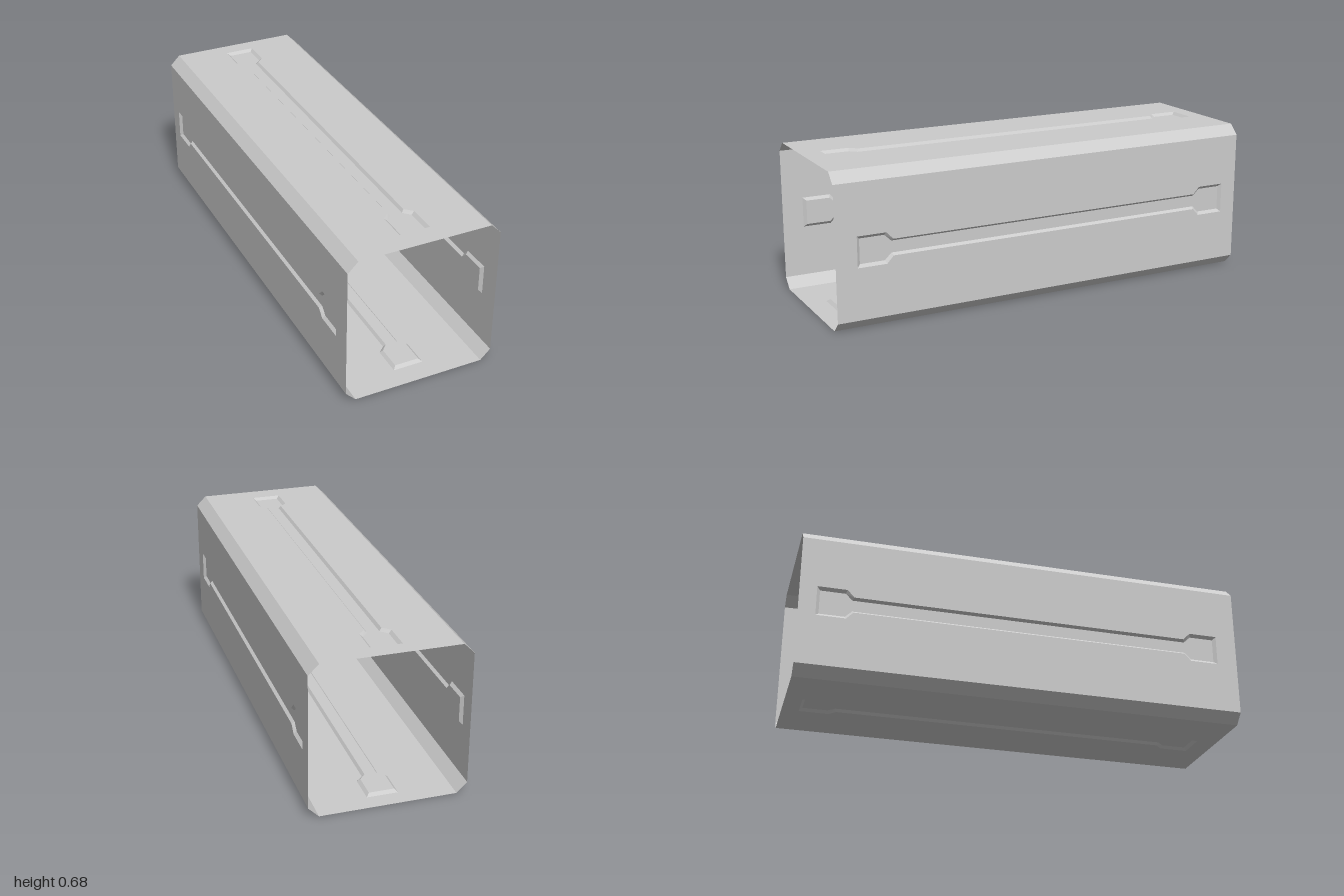
import * as THREE from 'three';

const HALF = 0.341;      // half width of the square tube
const CHAMFER = 0.045;   // corner cut
const DEPTH = 0.012;     // recess depth
const LENGTH = 2;

const material = new THREE.MeshStandardMaterial({
  color: 0xcccccc, flatShading: true, side: THREE.DoubleSide,
});

// Dumbbell outline of a recess, counter-clockwise; pad and neck are half widths
function recessOutline(pad, neck, inset) {
  const front = -0.905 + inset, back = 0.925 - inset;
  const right = [
    [pad, front], [pad, -0.775 - inset * 0.4], [neck, -0.745 - inset * 0.4],
    [neck, 0.765 + inset * 0.4], [pad, 0.795 + inset * 0.4], [pad, back],
  ];
  const left = right.map(([u, v]) => [-u, v]).reverse();
  return [...right, ...left].map(([u, v]) => new THREE.Vector2(u, v));
}

// Sloping band joining the rim of the recess to its floor
function recessWalls(rim, floor) {
  const pos = [];
  rim.forEach((a, i) => {
    const j = (i + 1) % rim.length;
    const b = rim[j], c = floor[j], d = floor[i];
    pos.push(a.x, a.y, 0, b.x, b.y, 0, c.x, c.y, -DEPTH);
    pos.push(a.x, a.y, 0, c.x, c.y, -DEPTH, d.x, d.y, -DEPTH);
  });
  const geo = new THREE.BufferGeometry();
  geo.setAttribute('position', new THREE.Float32BufferAttribute(pos, 3));
  geo.computeVertexNormals();
  return geo;
}

function addMesh(parent, geometry, name) {
  const mesh = new THREE.Mesh(geometry, material);
  mesh.name = name;
  parent.add(mesh);
  return mesh;
}

// One side of the tube, laid flat as the top side
function createSide(name) {
  const side = new THREE.Group();
  side.name = name;
  const rim = recessOutline(0.068, 0.036, 0);
  const floor = recessOutline(0.055, 0.026, 0.014);

  // Flat panel with the recess cut out
  const w = HALF - CHAMFER, l = LENGTH / 2;
  const panel = new THREE.Shape([
    new THREE.Vector2(-w, -l), new THREE.Vector2(w, -l),
    new THREE.Vector2(w, l), new THREE.Vector2(-w, l),
  ]);
  panel.holes.push(new THREE.Path([...rim].reverse()));

  const flat = [
    [new THREE.ShapeGeometry(panel), 'panel'],
    [recessWalls(rim, floor), 'recessWalls'],
    [new THREE.ShapeGeometry(new THREE.Shape(floor)).translate(0, 0, -DEPTH), 'recessFloor'],
  ];
  for (const [geo, part] of flat) {
    addMesh(side, geo.rotateX(-Math.PI / 2).translate(0, HALF, 0), part);
  }

  // Chamfered corner beside the panel
  const strip = new THREE.PlaneGeometry(CHAMFER * Math.SQRT2, LENGTH)
    .rotateX(-Math.PI / 2).rotateZ(-Math.PI / 4)
    .translate(HALF - CHAMFER / 2, HALF - CHAMFER / 2, 0);
  addMesh(side, strip, 'chamfer');
  return side;
}

export function createModel() {
  const model = new THREE.Group();
  model.name = 'squareTube';
  ['topSide', 'rightSide', 'bottomSide', 'leftSide'].forEach((name, i) => {
    const side = createSide(name);
    side.rotation.z = i * Math.PI / 2;
    side.position.y = HALF;
    model.add(side);
  });
  return model;
}
